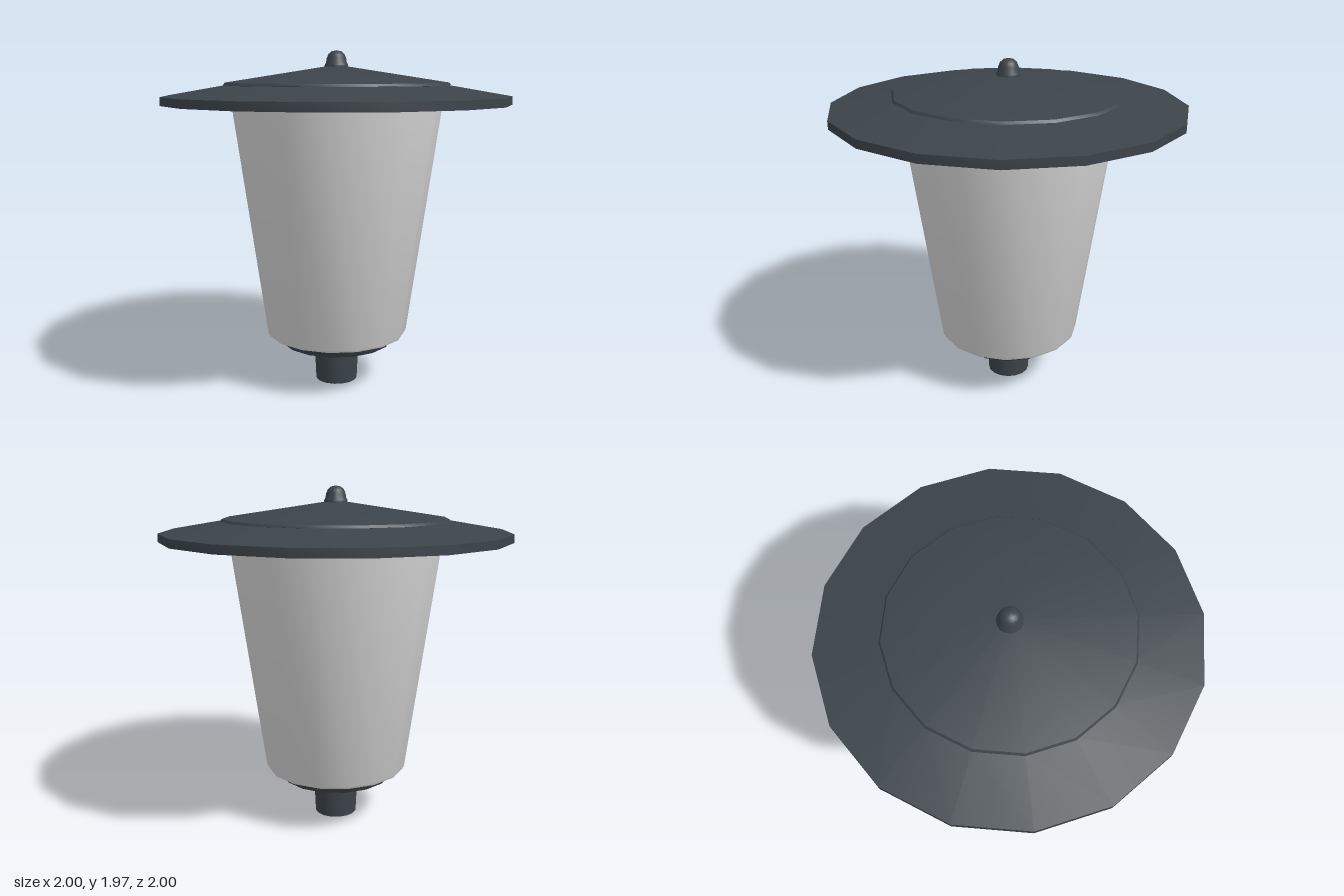
import * as THREE from 'three';
import { toCreasedNormals } from 'three/addons/utils/BufferGeometryUtils.js';

const SIDES = 16;

export function createModel() {
  const model = new THREE.Group();
  model.name = 'gardenLamp';

  const darkMetal = new THREE.MeshStandardMaterial({ name: 'dark metal', color: 0x3c444a });
  const paleGlass = new THREE.MeshStandardMaterial({ name: 'pale diffuser', color: 0xd8d8d8 });

  // Turned part: [radius, height] pairs, bottom to top on the outside
  function turned(name, material, profile) {
    const points = profile.map(([r, y]) => new THREE.Vector2(r, y));
    const geometry = toCreasedNormals(new THREE.LatheGeometry(points, SIDES), 0.55);
    const mesh = new THREE.Mesh(geometry, material);
    mesh.name = name;
    model.add(mesh);
  }

  // Post socket and the plate under the diffuser
  turned('stem', darkMetal, [[0, 0], [0.125, 0], [0.136, 0.25]]);
  turned('basePlate', darkMetal, [[0, 0.245], [0.332, 0.245], [0.36, 0.3]]);

  // Tapered diffuser with a softened lower edge
  turned('diffuser', paleGlass, [
    [0, 0.297], [0.395, 0.297], [0.412, 0.302], [0.421, 0.318],
    [0.61, 1.67], [0.62, 1.75], [0, 1.75],
  ]);

  // Wide brim with a vertical rim, and the raised cap above it
  turned('brim', darkMetal, [[0.993, 1.665], [1, 1.665], [1, 1.712], [0.64, 1.774]]);
  turned('cap', darkMetal, [[0.64, 1.772], [0.655, 1.774], [0.645, 1.788], [0, 1.888]]);

  // Pale lining inside the brim, running inward so that it faces down
  turned('brimLining', paleGlass, [
    [0, 1.868], [0.635, 1.775], [0.645, 1.762], [0.993, 1.702], [0.993, 1.665],
  ]);

  // Domed finial
  turned('finial', darkMetal, [
    [0.068, 1.868], [0.068, 1.886], [0.06, 1.9], [0.056, 1.925],
    [0.046, 1.948], [0.028, 1.963], [0, 1.969],
  ]);

  return model;
}
